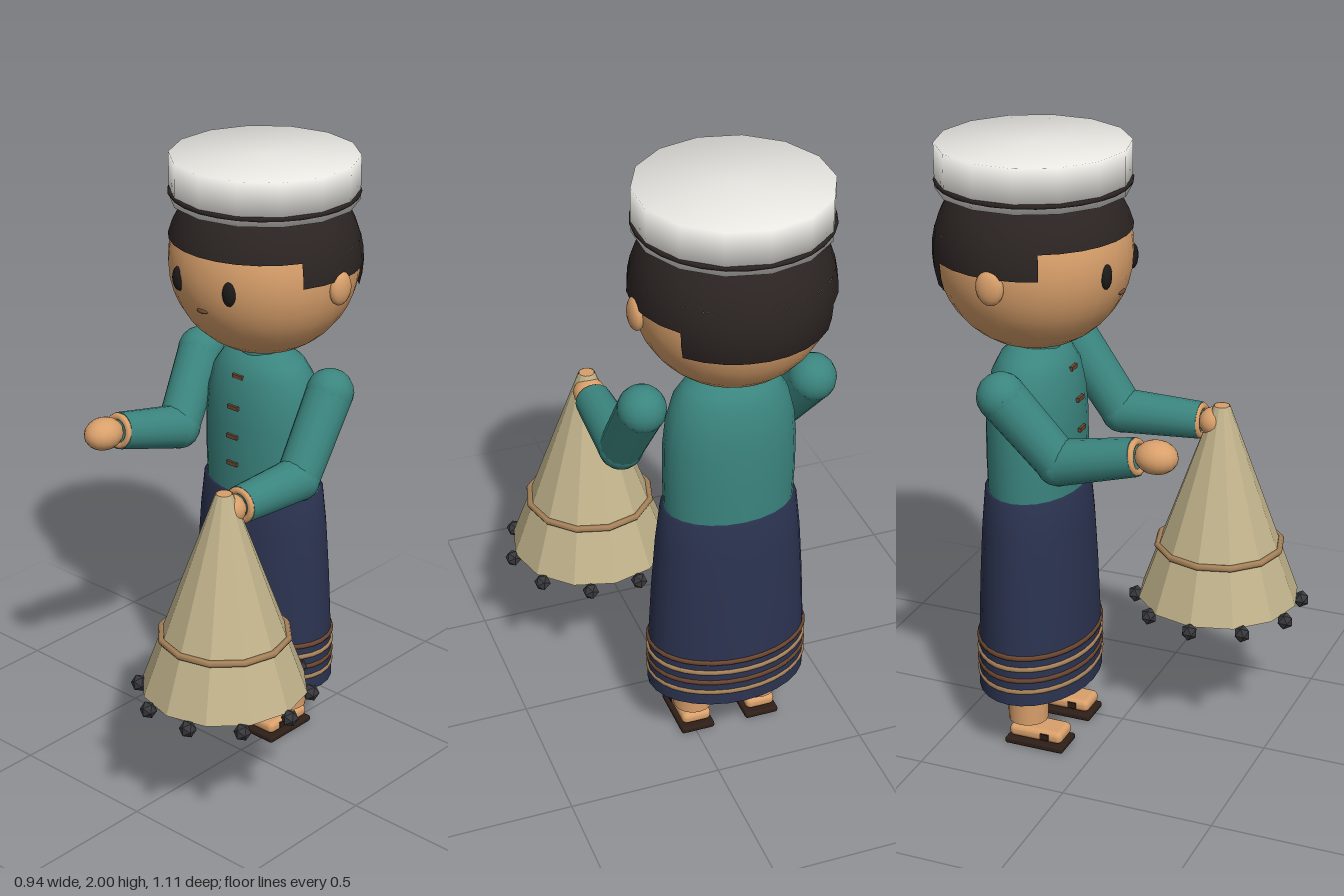
import * as THREE from 'three';
import { RoundedBoxGeometry } from 'three/addons/geometries/RoundedBoxGeometry.js';

const mat = (color, extra = {}) => new THREE.MeshStandardMaterial({ color, ...extra });
const DOUBLE = { side: THREE.DoubleSide };
const skin = mat(0xd9a06b), teal = mat(0x3b857f), tealOpen = mat(0x3b857f, DOUBLE);
const navy = mat(0x2b3350, DOUBLE), hairMat = mat(0x2b2422, DOUBLE), dark = mat(0x1e1a1a);
const brown = mat(0x6b4630), tan = mat(0xa8835a), sole = mat(0x2e1f18), white = mat(0xe8e7e2);
const netMat = mat(0xc2b48c, { flatShading: true, ...DOUBLE });
const weightMat = mat(0x38383c, { flatShading: true });

const CX = -0.12, CZ = -0.24; // body axis

function add(parent, name, geometry, material, x = 0, y = 0, z = 0) {
  const mesh = new THREE.Mesh(geometry, material);
  mesh.name = name;
  mesh.position.set(x, y, z);
  parent.add(mesh);
  return mesh;
}

function ellipsoid(parent, name, material, x, y, z, rx, ry, rz, segs = 14) {
  const mesh = add(parent, name, new THREE.SphereGeometry(1, segs, 10), material, x, y, z);
  mesh.scale.set(rx, ry, rz);
  return mesh;
}

function lathe(parent, name, points, material, segs) {
  return add(parent, name, new THREE.LatheGeometry(points.map(p => new THREE.Vector2(...p)), segs), material);
}

// Horizontal ring
function ring(parent, name, radius, tube, segs, material, x, y, z, squash = 1) {
  const geo = new THREE.TorusGeometry(radius, tube, 6, segs).rotateX(Math.PI / 2).scale(1, 1, squash);
  return add(parent, name, geo, material, x, y, z);
}

// Tapered cylinder between two points
function limb(parent, name, a, b, ra, rb, material) {
  const from = new THREE.Vector3(...a), dir = new THREE.Vector3(...b).sub(from);
  const mesh = add(parent, name, new THREE.CylinderGeometry(rb, ra, dir.length(), 16), material);
  mesh.position.copy(from).addScaledVector(dir, 0.5);
  mesh.quaternion.setFromUnitVectors(new THREE.Vector3(0, 1, 0), dir.normalize());
  return mesh;
}

function buildHead() {
  const head = new THREE.Group();
  head.name = 'head';
  head.position.set(CX, 1.66, CZ);
  add(head, 'face', new THREE.SphereGeometry(0.305, 28, 20), skin);
  for (const s of [-1, 1]) {
    ellipsoid(head, 'eye', dark, s * 0.105, -0.02, 0.28, 0.025, 0.04, 0.016);
    ellipsoid(head, 'ear', skin, s * 0.305, -0.03, -0.01, 0.025, 0.055, 0.045);
  }
  ellipsoid(head, 'mouth', brown, 0, -0.1, 0.286, 0.022, 0.008, 0.01);

  // Hair: a cap, lower at the sides and lowest at the back
  const R = 0.314, H = Math.PI / 2, capEnd = Math.acos(0.08 / R);
  const front = 64 * Math.PI / 180, back = 131 * Math.PI / 180, nape = Math.acos(-0.09 / R);
  const hair = new THREE.Group();
  hair.name = 'hair';
  head.add(hair);
  const patch = (name, phi, width, segs, t0, t1, rows) =>
    add(hair, name, new THREE.SphereGeometry(R, segs, rows, phi, width, t0, t1 - t0), hairMat);
  patch('hairCap', H, Math.PI * 2, 28, 0, capEnd, 9);
  patch('sideHair', H + front, back - front, 5, capEnd, H, 2);
  patch('sideHair', H - back, back - front, 5, capEnd, H, 2);
  patch('backHair', H + back, 2 * (Math.PI - back), 8, capEnd, nape, 4);

  // Flat-topped round hat with a trim ring
  lathe(head, 'hat', [[0, 0.2], [0.3, 0.2], [0.3, 0.34], [0, 0.34]], white, 14);
  ring(head, 'hatTrim', 0.296, 0.008, 28, hairMat, 0, 0.225, 0);
  return head;
}

function buildBody() {
  const body = new THREE.Group();
  body.name = 'body';
  body.position.set(CX, 0, CZ);
  const shirt = lathe(body, 'shirt', [[0.21, 0.88], [0.214, 1.0], [0.213, 1.12], [0.205, 1.2],
    [0.185, 1.28], [0.15, 1.33], [0.1, 1.36], [0.06, 1.365]], tealOpen, 24);
  shirt.scale.z = 0.7;
  add(body, 'collar', new THREE.CylinderGeometry(0.078, 0.08, 0.06, 20), teal, 0, 1.355, 0);
  [[1.29, 0.123], [1.19, 0.145], [1.09, 0.15], [0.995, 0.15]].forEach(([y, z]) =>
    add(body, 'button', new THREE.BoxGeometry(0.042, 0.013, 0.014), brown, 0, y, z));

  // Open-bottomed skirt with striped hem
  const skirt = lathe(body, 'skirt', [[0.264, 0.205], [0.259, 0.4], [0.25, 0.58],
    [0.237, 0.76], [0.222, 0.89], [0.2, 0.892]], navy, 28);
  skirt.scale.z = 0.71;
  [0.255, 0.295, 0.335, 0.375].forEach((y, i) =>
    ring(body, 'hemStripe', 0.259, 0.009, 32, i % 2 ? brown : tan, 0, y, 0, 0.715));

  // Legs and sandals
  for (const s of [-1, 1]) {
    const x = s * 0.113;
    add(body, 'leg', new THREE.CylinderGeometry(0.072, 0.065, 0.34, 16), skin, x, 0.255, 0.003);
    add(body, 'foot', new RoundedBoxGeometry(0.1, 0.042, 0.185, 3, 0.018), skin, x, 0.047, 0.045);
    add(body, 'sandalSole', new RoundedBoxGeometry(0.115, 0.022, 0.205, 2, 0.008), sole, x, 0.011, 0.043);
    add(body, 'sandalStrap', new THREE.BoxGeometry(0.106, 0.02, 0.03), sole, x, 0.048, 0.08);
  }
  return body;
}

function buildArm(name, shoulder, elbow, wrist, hand, handSize) {
  const arm = new THREE.Group();
  arm.name = name;
  ellipsoid(arm, 'shoulder', teal, ...shoulder, 0.077, 0.077, 0.077, 18);
  limb(arm, 'upperSleeve', shoulder, elbow, 0.076, 0.07, teal);
  ellipsoid(arm, 'elbow', teal, ...elbow, 0.073, 0.073, 0.073, 18);
  limb(arm, 'lowerSleeve', elbow, wrist, 0.072, 0.06, teal);
  const cuff = add(arm, 'wrist', new THREE.TorusGeometry(0.047, 0.012, 8, 18), skin, ...wrist);
  cuff.lookAt(...hand);
  ellipsoid(arm, 'hand', skin, ...hand, ...handSize, 18);
  return arm;
}

// Cone-shaped fishing net with a binding ring and weights round its rim
function buildNet() {
  const net = new THREE.Group();
  net.name = 'net';
  net.position.set(0.175, 0, 0.27);
  add(net, 'netCone', new THREE.CylinderGeometry(0.027, 0.265, 0.665, 12, 1, true), netMat, 0, 0.7775, 0);
  add(net, 'netTip', new THREE.CylinderGeometry(0.025, 0.028, 0.02, 12), skin, 0, 1.1, 0);
  ring(net, 'netBinding', 0.204, 0.011, 12, tan, 0, 0.63, 0).rotation.y = Math.PI / 12 * 2;
  for (let i = 0; i < 10; i++) {
    const a = i * Math.PI / 5;
    add(net, 'netWeight', new THREE.IcosahedronGeometry(0.028, 0), weightMat,
      0.272 * Math.cos(a), 0.43, 0.272 * Math.sin(a));
  }
  return net;
}

export function createModel() {
  const model = new THREE.Group();
  model.name = 'fisherFigure';
  model.add(
    buildHead(),
    buildBody(),
    buildArm('rightArm', [-0.392, 1.275, -0.235], [-0.342, 1.065, -0.07],
      [-0.355, 1.132, 0.19], [-0.357, 1.143, 0.255], [0.058, 0.052, 0.068]),
    buildArm('leftArm', [0.163, 1.28, -0.235], [0.175, 1.04, -0.07],
      [0.177, 1.047, 0.2], [0.176, 1.05, 0.245], [0.052, 0.048, 0.05]),
    buildNet(),
  );
  return model;
}
